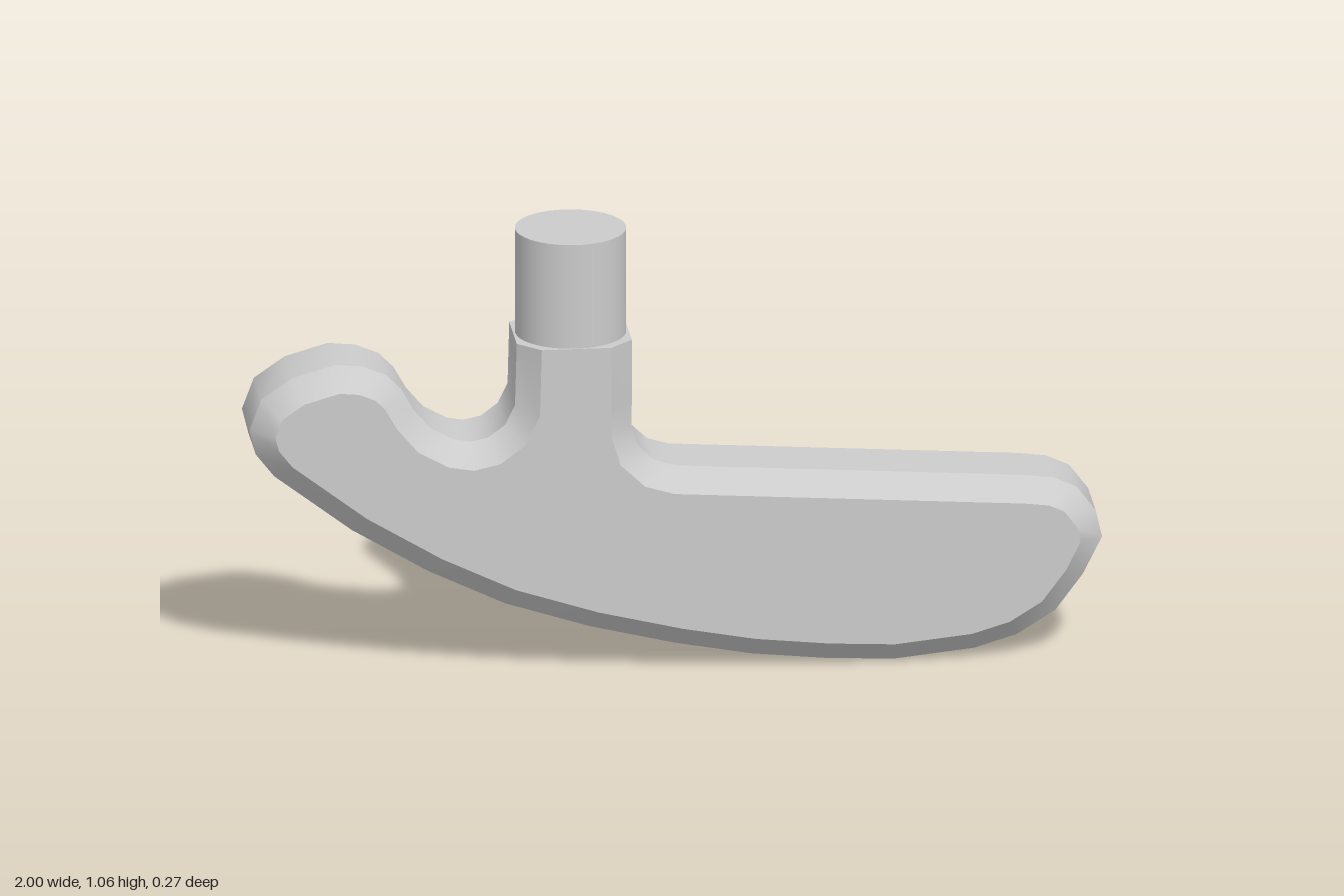
import * as THREE from 'three';
import { toCreasedNormals } from 'three/addons/utils/BufferGeometryUtils.js';

const NECK_TOP = 0.81, HALF_DEPTH = 0.133, CHAMFER = 0.053;

// Side profile, counter-clockwise, from the neck's top -x corner to its top +x corner
const PROFILE = [
  [-0.373, NECK_TOP], [-0.377, 0.66], [-0.4, 0.612], [-0.44, 0.582], [-0.48, 0.573], // neck, finger notch
  [-0.52, 0.58], [-0.575, 0.61], [-0.615, 0.657], [-0.645, 0.71], [-0.68, 0.745],
  [-0.735, 0.768], [-0.8, 0.774], [-0.9, 0.745], [-0.972, 0.695], [-1, 0.62],         // raised end
  [-0.985, 0.56], [-0.942, 0.505], [-0.76, 0.366], [-0.58, 0.258], [-0.4, 0.172],     // curved underside
  [-0.2, 0.108], [0, 0.06], [0.175, 0.028], [0.35, 0.01], [0.51, 0.002],
  [0.7, 0.022], [0.8, 0.052], [0.89, 0.108], [0.955, 0.195], [1, 0.285],              // low end
  [0.985, 0.35], [0.94, 0.41], [0.885, 0.435], [0.82, 0.443],
  [0, 0.497], [-0.05, 0.512], [-0.088, 0.548], [-0.104, 0.6], [-0.103, 0.66], [-0.103, NECK_TOP],
].map(([x, y]) => new THREE.Vector2(x, y));

// Moves the profile inward by d with mitred corners, keeping the flat neck top in place
function inset(points, d) {
  const n = points.length;
  const normal = (a, b) => new THREE.Vector2(a.y - b.y, b.x - a.x).normalize();
  return points.map((p, i) => {
    if (i === 0) return new THREE.Vector2(p.x + d, p.y);
    if (i === n - 1) return new THREE.Vector2(p.x - d, p.y);
    const a = normal(points[i - 1], p), b = normal(p, points[i + 1]);
    return p.clone().addScaledVector(a.clone().add(b), d / (1 + a.dot(b)));
  });
}

// Four rings from front to back: chamfered front, straight rim, chamfered back
function gripGeometry() {
  const inner = inset(PROFILE, CHAMFER);
  const rim = HALF_DEPTH - CHAMFER;
  const rings = [[inner, HALF_DEPTH], [PROFILE, rim], [PROFILE, -rim], [inner, -HALF_DEPTH]];
  const n = PROFILE.length, positions = [], index = [];
  for (const [points, z] of rings) for (const p of points) positions.push(p.x, p.y, z);
  for (let r = 0; r < 3; r++) {
    for (let i = 0; i < n; i++) {
      const a = r * n + i, b = r * n + (i + 1) % n;
      index.push(a, a + n, b, b, a + n, b + n);
    }
  }
  for (const [a, b, c] of THREE.ShapeUtils.triangulateShape(inner, [])) {
    index.push(a, b, c, 3 * n + a, 3 * n + c, 3 * n + b);
  }
  const geometry = new THREE.BufferGeometry();
  geometry.setAttribute('position', new THREE.Float32BufferAttribute(positions, 3));
  geometry.setIndex(index);
  return toCreasedNormals(geometry, 0.62);
}

export function createModel() {
  const model = new THREE.Group();
  model.name = 'handle';
  const material = new THREE.MeshStandardMaterial({ color: 0xcccccc });

  const grip = new THREE.Mesh(gripGeometry(), material);
  grip.name = 'grip';

  // Round stem standing on the neck
  const bottom = NECK_TOP - 0.05, top = 1.065;
  const stem = new THREE.Mesh(new THREE.CylinderGeometry(0.13, 0.13, top - bottom, 40), material);
  stem.name = 'stem';
  stem.position.set(-0.238, (top + bottom) / 2, 0);

  model.add(grip, stem);
  return model;
}
